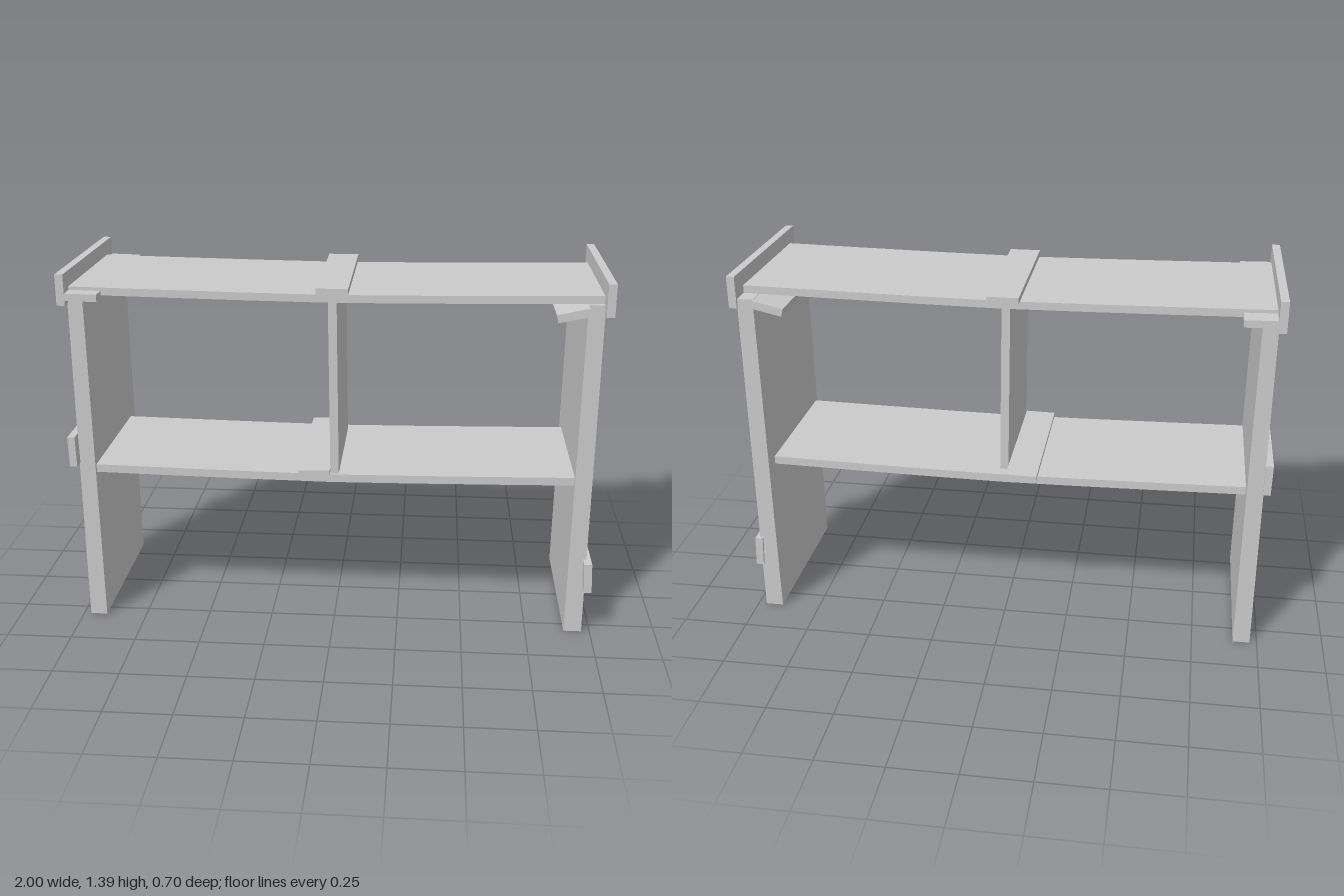
import * as THREE from 'three';

const material = new THREE.MeshStandardMaterial({ color: 0xcccccc, flatShading: true });

// A board: front outline (x, y) extruded from z0 to z1
function board(name, outline, z0, z1) {
  const shape = new THREE.Shape(outline.map(([x, y]) => new THREE.Vector2(x, y)));
  const geometry = new THREE.ExtrudeGeometry(shape, { depth: z1 - z0, bevelEnabled: false });
  geometry.translate(0, 0, z0);
  const mesh = new THREE.Mesh(geometry, material);
  mesh.name = name;
  return mesh;
}

// Outline of a rectangle turned about its centre
function slab(cx, cy, w, h, angle = 0) {
  const c = Math.cos(angle), s = Math.sin(angle);
  return [[-1, -1], [1, -1], [1, 1], [-1, 1]].map(([i, j]) => {
    const x = i * w / 2, y = j * h / 2;
    return [cx + x * c - y * s, cy + x * s + y * c];
  });
}

// Outline of a shelf that sags towards its middle
function saggingShelf(x0, x1, bottom, thickness, sag, steps = 6) {
  const lower = [], upper = [];
  for (let i = 0; i <= steps; i++) {
    const t = i / steps;
    const y = bottom - sag * (1 - Math.abs(2 * t - 1) ** 1.3);
    const x = x0 + (x1 - x0) * t;
    lower.push([x, y]);
    upper.unshift([x, y + thickness]);
  }
  return [...lower, ...upper];
}

export function createModel() {
  const group = new THREE.Group();
  group.name = 'shelfUnit';
  group.add(
    // Side panels, slightly tapered
    board('leftPanel', [[-0.973, 0], [-0.908, 0], [-0.917, 1.29], [-0.973, 1.29]], -0.34, 0.305),
    board('rightPanel', [[0.9, 0], [0.968, 0], [0.97, 1.303], [0.91, 1.303]], -0.34, 0.305),

    // Shelves and the divider between them
    board('topShelf', saggingShelf(-0.97, 0.967, 1.304, 0.029, 0.014), -0.27, 0.29),
    board('lowerShelf', saggingShelf(-0.917, 0.907, 0.606, 0.031, 0.014), -0.27, 0.29),
    board('divider', [[-0.012, 0.615], [0.02, 0.615], [0.012, 1.295], [-0.02, 1.295]], -0.22, 0.28),

    // Thin battens across the shelves
    board('topBatten', slab(-0.004, 1.333, 0.118, 0.022), -0.305, 0.3),
    board('lowerBatten', slab(-0.072, 0.633, 0.118, 0.016, 0.02), -0.305, 0.3),

    // Planks nailed to the outside of the panels
    board('leftTopPlank', slab(-0.985, 1.333, 0.03, 0.115), -0.35, 0.35),
    board('leftMiddlePlank', slab(-0.985, 0.708, 0.028, 0.118, 0.02), -0.35, 0.35),
    board('rightTopPlank', slab(0.983, 1.33, 0.03, 0.12), -0.35, 0.35),
    board('rightLowerPlank', slab(0.973, 0.25, 0.03, 0.118, 0.045), -0.35, 0.35),

    // Cleats under the ends of the top shelf
    board('leftCleat', slab(-0.911, 1.306, 0.118, 0.027, -0.02), -0.35, 0.35),
    board('rightCleat', slab(0.856, 1.274, 0.118, 0.03, 0.22), -0.35, 0.35),
  );
  return group;
}
